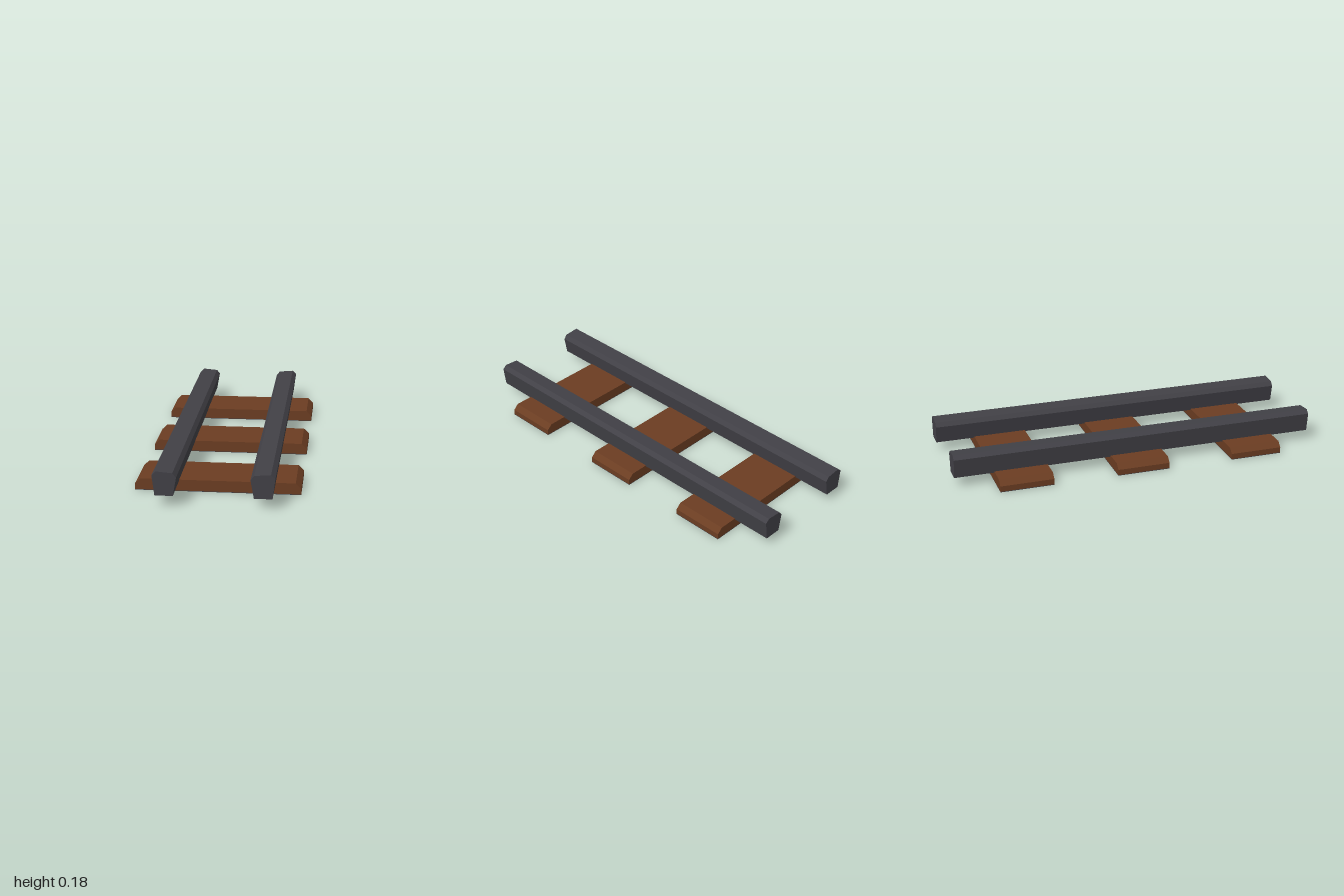
import * as THREE from 'three';

// Extrude an x/y outline along z, centred on z = 0, with a very slight skew
function bar(points, length, z, skew = 0.003) {
  const shape = new THREE.Shape(points.map(([x, y]) => new THREE.Vector2(x, y)));
  const geo = new THREE.ExtrudeGeometry(shape, { depth: length, bevelEnabled: false });
  geo.translate(0, 0, z - length / 2);
  const p = geo.attributes.position;
  for (let i = 0; i < p.count; i++) p.setX(i, p.getX(i) + skew * (p.getZ(i) - 1));
  geo.computeVertexNormals();
  return geo;
}

export function createModel() {
  const group = new THREE.Group();
  const steel = new THREE.MeshStandardMaterial({ name: 'dark steel', color: 0x414046 });
  const wood = new THREE.MeshStandardMaterial({ name: 'brown wood', color: 0x6b3d22 });

  const add = (name, geo, mat) => {
    const mesh = new THREE.Mesh(geo, mat);
    mesh.name = name;
    group.add(mesh);
  };

  // Rails: tapered six-sided section, mirrored left and right
  const rail = [[0.199, 0.053], [0.289, 0.053], [0.302, 0.156], [0.281, 0.176], [0.2, 0.169], [0.182, 0.147]];
  add('leftRail', bar(rail, 2, 0), steel);
  add('rightRail', bar(rail.map(([x, y]) => [-x + 0.004, y]).reverse(), 2, 0), steel);

  // Sleepers: chamfered planks with a dark underside
  const base = 0.003;
  const plank = [[-0.418, base], [0.418, base], [0.418, 0.033], [0.39, 0.06], [-0.39, 0.06], [-0.418, 0.033]];
  const under = [[-0.418, 0], [0.418, 0], [0.418, base], [-0.418, base]];
  [['front', 0.637], ['middle', -0.009], ['back', -0.645]].forEach(([name, z]) => {
    add(name + 'Sleeper', bar(plank, 0.287, z), wood);
    add(name + 'SleeperUnderside', bar(under, 0.287, z), steel);
  });

  return group;
}
